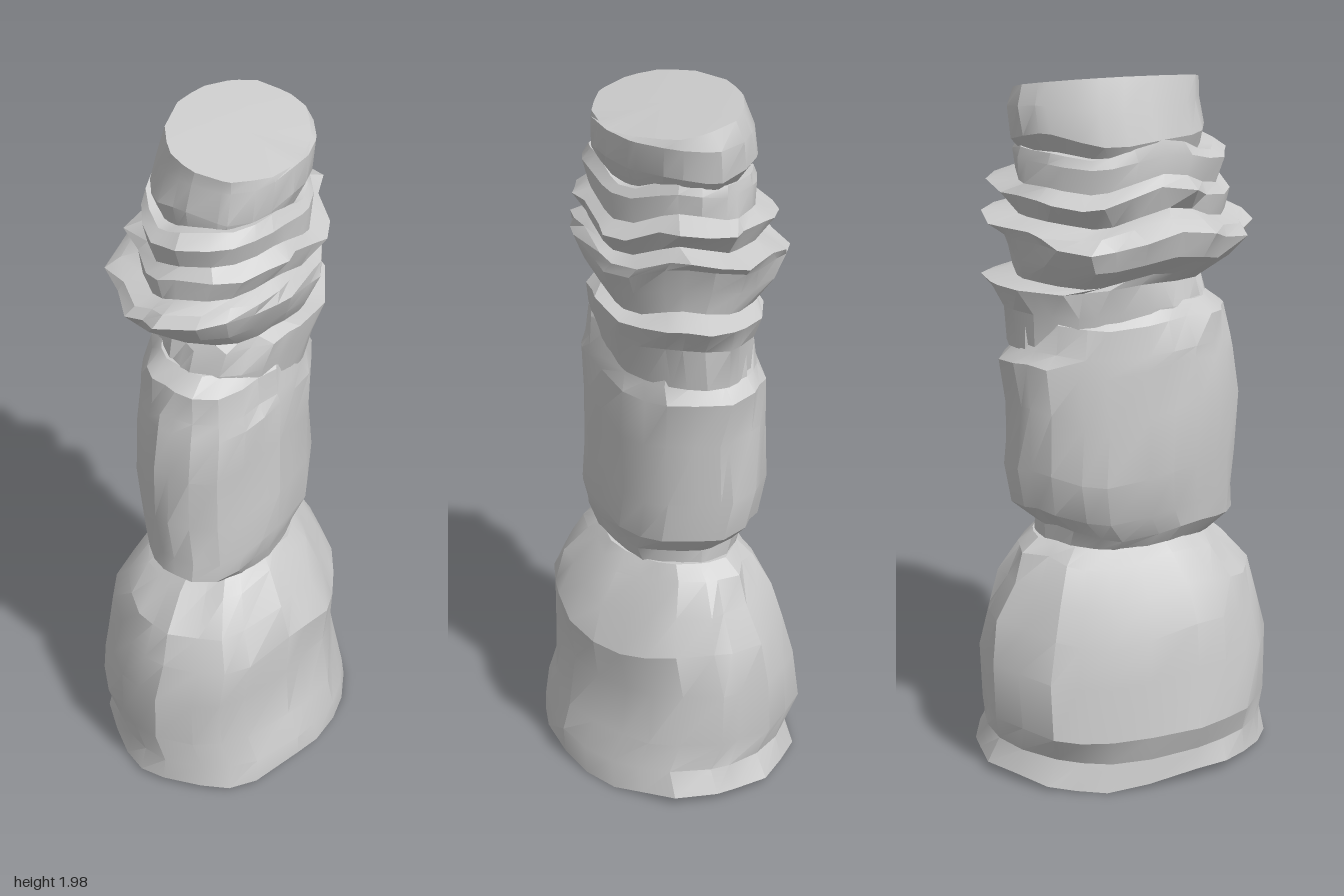
import * as THREE from 'three';
import { mergeVertices, toCreasedNormals } from 'three/addons/utils/BufferGeometryUtils.js';

const SIDES = 24;

function seeded(seed) {
  return () => {
    seed = (seed * 16807) % 2147483647;
    return seed / 2147483647;
  };
}

// Each section: [y, right x, left x, front z, back z, roughness, height wave]
const base = [
  [0.03, -0.34, 0.36, 0.43, -0.45, 0.05, 0.02],
  [0.10, -0.32, 0.35, 0.41, -0.41, 0.03, 0.01],
  [0.18, -0.36, 0.33, 0.42, -0.43, 0.06, 0.01],
  [0.34, -0.33, 0.31, 0.42, -0.43, 0.05, 0.02],
  [0.46, -0.31, 0.32, 0.41, -0.41, 0.06, 0.03],
  [0.56, -0.27, 0.28, 0.38, -0.37, 0.08, 0.03],
  [0.65, -0.22, 0.23, 0.31, -0.33, 0.12, 0.02],
  [0.69, -0.17, 0.19, 0.25, -0.27, 0.06, 0.01],
];
const middle = [
  [0.67, -0.16, 0.18, 0.25, -0.26, 0.04, 0.00],
  [0.73, -0.20, 0.20, 0.32, -0.27, 0.06, 0.02],
  [0.79, -0.22, 0.22, 0.32, -0.33, 0.05, 0.02],
  [0.91, -0.25, 0.22, 0.32, -0.36, 0.07, 0.02],
  [1.08, -0.24, 0.22, 0.33, -0.35, 0.07, 0.03],
  [1.21, -0.23, 0.22, 0.32, -0.36, 0.07, 0.02],
  [1.25, -0.22, 0.21, 0.31, -0.33, 0.08, 0.01],
  [1.33, -0.21, 0.20, 0.30, -0.32, 0.12, 0.01],
  [1.37, -0.17, 0.18, 0.24, -0.30, 0.08, 0.01],
];
const ledges = [
  [1.25, -0.17, 0.19, 0.22, -0.33, 0.04, 0.00],
  [1.36, -0.19, 0.22, 0.24, -0.34, 0.06, 0.01],
  [1.43, -0.20, 0.25, 0.23, -0.40, 0.12, 0.01],
  [1.45, -0.20, 0.20, 0.22, -0.31, 0.05, 0.02],
  [1.51, -0.28, 0.23, 0.30, -0.33, 0.07, 0.02],
  [1.57, -0.31, 0.26, 0.36, -0.38, 0.12, 0.03],
  [1.60, -0.27, 0.25, 0.34, -0.41, 0.13, 0.03],
  [1.62, -0.21, 0.21, 0.28, -0.30, 0.04, 0.03],
  [1.68, -0.27, 0.28, 0.31, -0.38, 0.16, 0.03],
  [1.71, -0.20, 0.21, 0.26, -0.30, 0.04, 0.03],
  [1.77, -0.21, 0.22, 0.29, -0.31, 0.07, 0.02],
  [1.80, -0.20, 0.20, 0.25, -0.29, 0.06, 0.03],
];
const crown = [
  [1.77, -0.17, 0.18, 0.21, -0.26, 0.03, 0.02],
  [1.83, -0.20, 0.21, 0.23, -0.31, 0.05, 0.02],
  [1.91, -0.18, 0.21, 0.22, -0.32, 0.05, 0.01],
  [1.96, -0.15, 0.20, 0.22, -0.30, 0.04, 0.00],
];

// Rough stone skinned through the sections, with closed ends
function rock(name, sections, seed, tilt = 0) {
  const random = seeded(seed);
  const points = [], faces = [];
  const turn = Array.from({ length: SIDES }, (_, j) => (j + (random() - 0.5) * 0.6) / SIDES * Math.PI * 2);
  const flute = turn.map(() => random());
  const last = sections.length - 1;
  const centers = [];

  sections.forEach(([y, x0, x1, zf, zb, rough, wave], i) => {
    const cx = (x0 + x1) / 2, cz = (zf + zb) / 2;
    centers.push([cx, y, cz]);
    turn.forEach((a, j) => {
      const dent = 1 - rough * (0.55 * flute[j] + 0.75 * random());
      const x = cx + (x1 - x0) / 2 * 1.02 * dent * Math.sin(a);
      const z = cz + (zf - zb) / 2 * 1.02 * dent * Math.cos(a);
      const rise = wave * (0.6 * Math.sin(3 * a + seed) + 0.4 * Math.cos(5 * a));
      const lean = i === last ? tilt * x : 0;
      points.push(x, Math.max(0, y + rise + lean), z);
    });
  });

  for (let i = 0; i < last; i++) {
    for (let j = 0; j < SIDES; j++) {
      const k = (j + 1) % SIDES;
      const a = i * SIDES + j, b = i * SIDES + k;
      faces.push(a, b, b + SIDES, a, b + SIDES, a + SIDES);
    }
  }

  // End caps
  const bottom = points.length / 3;
  points.push(...centers[0], ...centers[last]);
  for (let j = 0; j < SIDES; j++) {
    const k = (j + 1) % SIDES;
    faces.push(bottom, k, j);
    faces.push(bottom + 1, last * SIDES + j, last * SIDES + k);
  }

  const geometry = new THREE.BufferGeometry();
  geometry.setAttribute('position', new THREE.Float32BufferAttribute(points, 3));
  geometry.setIndex(faces);
  const mesh = new THREE.Mesh(
    toCreasedNormals(mergeVertices(geometry), 0.4),
    new THREE.MeshStandardMaterial({ color: 0xcccccc })
  );
  mesh.name = name;
  return mesh;
}

export function createModel() {
  const group = new THREE.Group();
  group.name = 'rockPillar';
  group.add(
    rock('baseBoulder', base, 11),
    rock('middleBoulder', middle, 23),
    rock('jaggedLedges', ledges, 37),
    rock('crownStone', crown, 53, -0.22)
  );
  return group;
}
